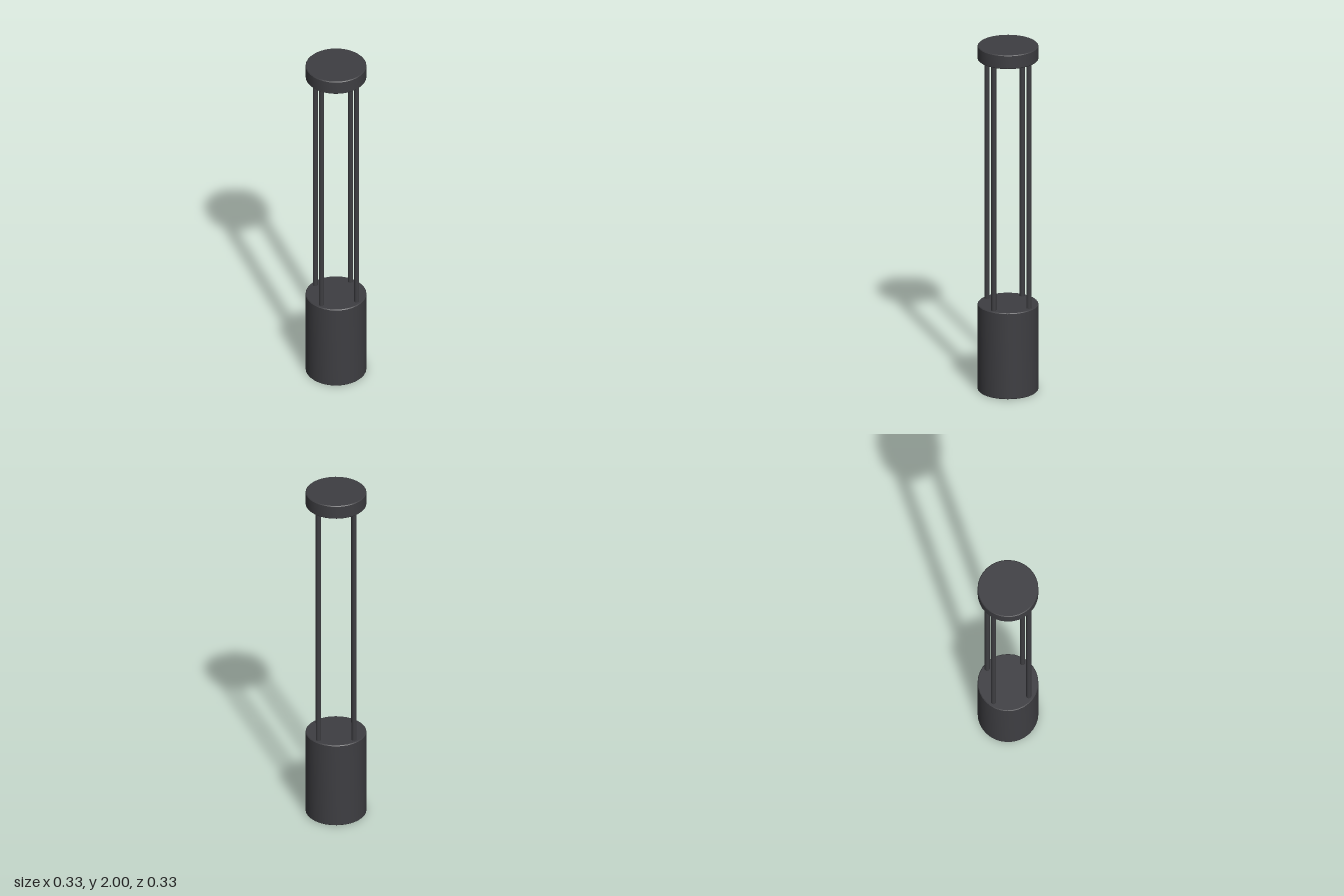
import * as THREE from 'three';
import { toCreasedNormals } from 'three/addons/utils/BufferGeometryUtils.js';

export function createModel() {
  const model = new THREE.Group();
  model.name = 'bollardLight';

  const material = (name, color) => {
    const m = new THREE.MeshStandardMaterial({ color });
    m.name = name;
    return m;
  };
  const darkMetal = material('dark metal', 0x3e3e42);
  const trimMetal = material('trim metal', 0x56565a);
  const lensGrey = material('lens grey', 0x8c8c86);

  const add = (name, geometry, mat, x = 0, y = 0, z = 0) => {
    const mesh = new THREE.Mesh(geometry, mat);
    mesh.name = name;
    mesh.position.set(x, y, z);
    model.add(mesh);
    return mesh;
  };

  // Upright drum with small chamfered rims
  const drum = (radius, height, bevel, segments = 32) => {
    const profile = [
      [0, 0], [radius - bevel, 0], [radius, bevel],
      [radius, height - bevel], [radius - bevel, height], [0, height],
    ].map(([x, y]) => new THREE.Vector2(x, y));
    return toCreasedNormals(new THREE.LatheGeometry(profile, segments), 0.5);
  };

  // Base and cap
  add('base', drum(0.166, 0.5, 0.004), darkMetal);
  add('cap', drum(0.166, 0.08, 0.004), darkMetal, 0, 1.92, 0);

  // Four rods joining base and cap
  const rodGeometry = new THREE.CylinderGeometry(0.014, 0.014, 1.44, 16);
  for (let i = 0; i < 4; i++) {
    const a = (i * Math.PI) / 2;
    add('rod' + (i + 1), rodGeometry, darkMetal, Math.cos(a) * 0.138, 1.21, Math.sin(a) * 0.138);
  }

  // Downlight under the cap: trim ring around a lens
  const trimProfile = [[0.066, 0.012], [0.066, 0.002], [0.07, 0], [0.084, 0.002], [0.09, 0.012]]
    .map(([x, y]) => new THREE.Vector2(x, y));
  const trim = toCreasedNormals(new THREE.LatheGeometry(trimProfile, 32), 0.6);
  add('lampTrim', trim, trimMetal, 0, 1.91, 0);
  add('lampLens', new THREE.CylinderGeometry(0.067, 0.067, 0.008, 32), lensGrey, 0, 1.917, 0);

  return model;
}
